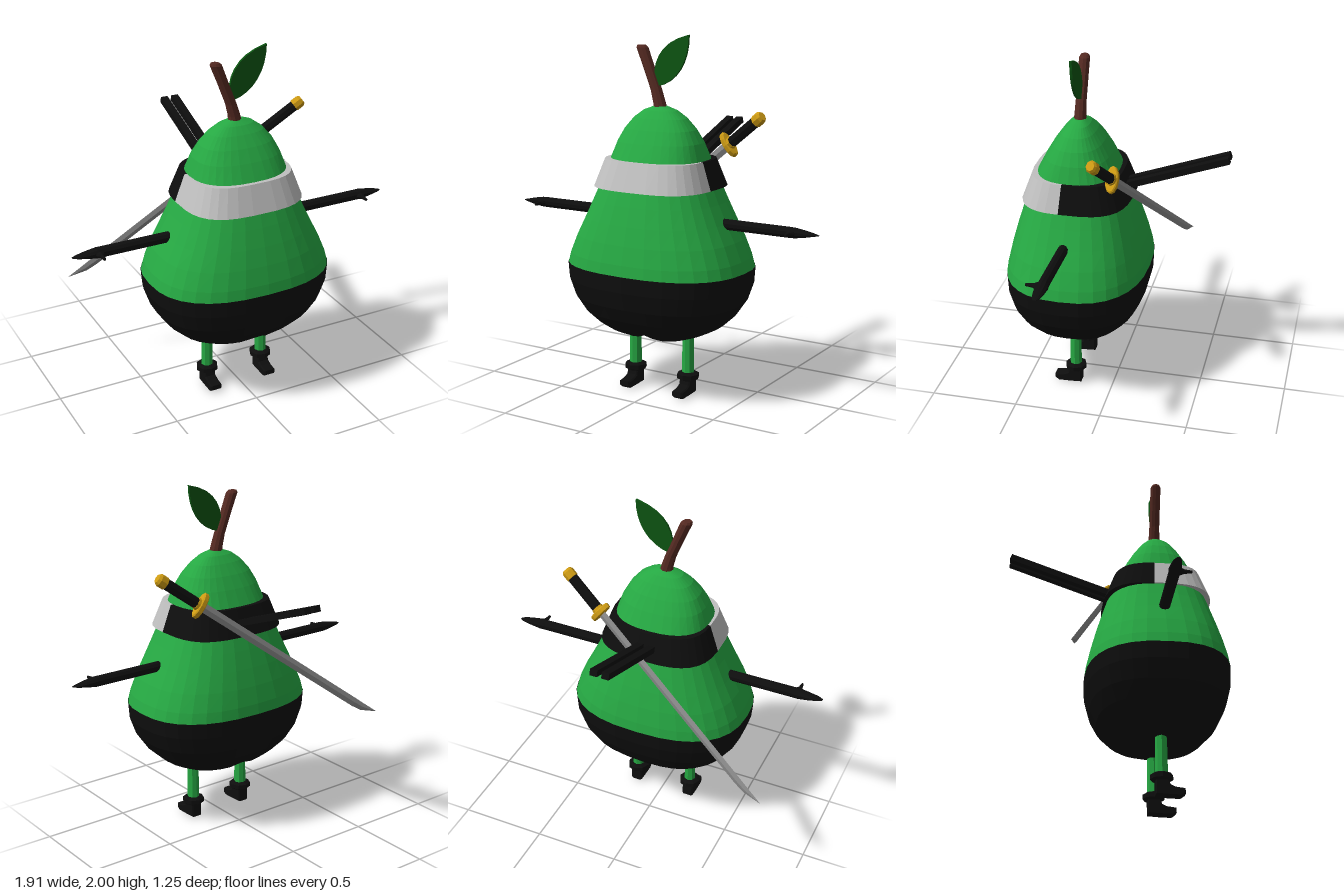
import * as THREE from 'three';

const mat = (name, color) => Object.assign(new THREE.MeshStandardMaterial({ color }), { name });

// Loft of superellipse rings [y, rx, rz, cx, cz] along y, faceted, with closed ends.
function loft(rings, n, { power = 2, from = 0, to = Math.PI * 2, rule } = {}) {
  const pos = [], idx = [];
  const bend = (v) => Math.sign(v) * Math.abs(v) ** (2 / power);
  const put = (x, y, z) => pos.push(x, rule ? rule(x, y, z) : y, z) / 3 - 1;
  for (const [y, rx, rz, cx = 0, cz = 0] of rings) {
    for (let j = 0; j <= n; j++) {
      const a = from + (to - from) * j / n;
      put(cx + rx * bend(Math.cos(a)), y, cz + rz * bend(Math.sin(a)));
    }
  }
  const w = n + 1, last = rings.length - 1;
  for (let i = 0; i < last; i++) {
    for (let j = 0; j < n; j++) {
      const a = i * w + j, b = a + w;
      idx.push(a, b, a + 1, b, b + 1, a + 1);
    }
  }
  const centre = ([y, , , cx = 0, cz = 0]) => put(cx, y, cz);
  const bottom = centre(rings[0]), top = centre(rings[last]);
  for (let j = 0; j < n; j++) {
    idx.push(bottom, j, j + 1, top, last * w + j + 1, last * w + j);
  }
  const g = new THREE.BufferGeometry();
  g.setAttribute('position', new THREE.Float32BufferAttribute(pos, 3));
  g.setIndex(idx);
  return facet(g);
}

function facet(g) {
  const f = g.index ? g.toNonIndexed() : g;
  f.computeVertexNormals();
  return f;
}

export function createModel() {
  const green = mat('pear green', 0x26a843);
  const leafGreen = mat('leaf green', 0x0d5512);
  const brown = mat('stem brown', 0x552a22);
  const black = mat('cloth black', 0x0e0e0e);
  const white = mat('band white', 0xc0c0c0);
  const steel = mat('blade steel', 0x8c8c8c);
  const gold = mat('gold', 0xcf9c14);

  const model = new THREE.Group();
  model.name = 'pearWarrior';
  const add = (parent, name, geometry, material) => {
    const m = new THREE.Mesh(geometry, material);
    m.name = name;
    parent.add(m);
    return m;
  };
  const group = (name, x = 0, y = 0, z = 0, parent = model) => {
    const g = new THREE.Group();
    g.name = name;
    g.position.set(x, y, z);
    parent.add(g);
    return g;
  };
  const CZ = 0.22; // depth of the body axis

  // Body: black lower half with a slight cleft underneath, green upper half
  const body = group('body', 0, 0, CZ);
  const cleft = (x, y) => (y < 0.38 ? y + 0.022 * Math.max(0, 1 - Math.abs(x) / 0.07) : y);
  add(body, 'trousers', loft([
    [0.33, 0.11, 0.09], [0.335, 0.2, 0.16], [0.37, 0.29, 0.235], [0.405, 0.36, 0.275], [0.47, 0.43, 0.335],
    [0.55, 0.485, 0.375], [0.65, 0.52, 0.4], [0.74, 0.527, 0.404],
  ], 32, { power: 2.5, rule: cleft }), black);
  add(body, 'upperBody', loft([
    [0.74, 0.525, 0.403], [0.8, 0.508, 0.395], [0.9, 0.466, 0.372], [1.0, 0.415, 0.344], [1.1, 0.367, 0.313],
    [1.2, 0.322, 0.28], [1.32, 0.277, 0.232], [1.42, 0.243, 0.18], [1.49, 0.205, 0.138],
    [1.55, 0.155, 0.095], [1.59, 0.1, 0.06], [1.612, 0.04, 0.03],
  ], 32, { power: 2.5 }), green);

  // Headband: white in front, black behind, with two stiff tails
  const band = group('headband', 0, 0, CZ);
  const bandRings = [[1.178, 0.342, 0.307], [1.33, 0.288, 0.25]];
  const a = 0.054;
  add(band, 'bandFront', loft(bandRings, 16, { power: 3, from: a, to: Math.PI + a }), white);
  add(band, 'bandBack', loft(bandRings, 16, { power: 3, from: Math.PI + a, to: 2 * Math.PI + a }), black);
  for (const x of [-0.036, 0.031]) {
    const tail = add(band, 'bandTail', new THREE.BoxGeometry(0.042, 0.036, 0.6), black);
    tail.position.set(x, 1.353, -0.555);
    tail.rotation.x = 0.345;
  }

  // Stem and leaf
  add(model, 'stem', loft([
    [1.58, 0.042, 0.036, 0, CZ], [1.63, 0.035, 0.033, -0.008, CZ], [1.7, 0.032, 0.03, -0.028, CZ],
    [1.82, 0.032, 0.03, -0.075, CZ], [1.925, 0.034, 0.03, -0.117, CZ], [1.938, 0.024, 0.022, -0.122, CZ],
  ], 10), brown);
  const outline = new THREE.Shape();
  outline.moveTo(-0.03, 1.715);
  outline.bezierCurveTo(-0.06, 1.83, -0.01, 1.96, 0.18, 2.0);
  outline.bezierCurveTo(0.18, 1.86, 0.11, 1.74, -0.03, 1.715);
  const leafGeo = new THREE.ExtrudeGeometry(outline, { depth: 0.014, bevelEnabled: false, curveSegments: 8 });
  add(model, 'leaf', leafGeo, leafGreen).position.z = CZ - 0.007;

  // Arms with pointed mitten hands, and legs with cuffs and shoes
  const armGeo = loft([
    [0.34, 0.03, 0.03], [0.78, 0.03, 0.03], [0.82, 0.029, 0.034],
    [0.88, 0.019, 0.03], [0.93, 0.008, 0.022], [0.957, 0.002, 0.008],
  ], 10).rotateZ(-Math.PI / 2);
  const thumbGeo = loft([[0, 0.035, 0.018], [0.03, 0.026, 0.016], [0.045, 0.012, 0.012], [0.085, 0.007, 0.008]], 8)
    .rotateX(Math.PI / 2);
  const legGeo = facet(new THREE.CylinderGeometry(0.032, 0.035, 0.3, 8));
  const cuffGeo = loft([[0.088, 0.048, 0.046], [0.098, 0.063, 0.062], [0.123, 0.063, 0.062], [0.133, 0.044, 0.044]], 8);
  const side = new THREE.Shape([
    [-0.033, 0.012], [0.03, 0.008], [0.1, 0.006], [0.122, 0.022], [0.12, 0.046],
    [0.07, 0.053], [0.042, 0.066], [0.033, 0.1], [-0.033, 0.1],
  ].map(([z, y]) => new THREE.Vector2(z, y)));
  const shoeGeo = new THREE.ExtrudeGeometry(side, {
    depth: 0.052, bevelThickness: 0.008, bevelSize: 0.006, bevelOffset: -0.004, bevelSegments: 1,
  }).translate(0, 0, -0.026).rotateY(-Math.PI / 2);

  for (const s of [1, -1]) {
    const label = s > 0 ? 'left' : 'right';
    const arm = group(label + 'Arm', 0, 1.0, CZ);
    // A half turn mirrors the round arm; the thumb always points forward
    add(arm, 'sleeveAndHand', armGeo, black).rotation.y = s > 0 ? 0 : Math.PI;
    add(arm, 'thumb', thumbGeo, black).position.set(s * 0.81, 0, 0.005);

    const leg = group(label + 'Leg', s * 0.175, 0, CZ);
    add(leg, 'shin', legGeo, green).position.y = 0.25;
    add(leg, 'cuff', cuffGeo, black);
    add(leg, 'shoe', shoeGeo, black);
  }

  // Sword slung across the back: local y runs from the guard to the pommel
  const sword = group('sword', 0.285, 1.39, -0.028);
  const up = new THREE.Vector3(1.075, 0.81, 0.272).normalize();
  const across = new THREE.Vector3(up.y, -up.x, 0).normalize();
  const normal = new THREE.Vector3().crossVectors(across, up);
  sword.quaternion.setFromRotationMatrix(new THREE.Matrix4().makeBasis(across, up, normal));
  add(sword, 'blade', loft([
    [-1.373, 0.001, 0.001, -0.024], [-1.27, 0.022, 0.006, -0.003], [-1.2, 0.026, 0.008], [0, 0.027, 0.009],
  ], 4), steel);
  add(sword, 'guard', loft([
    [-0.016, 0.068, 0.03], [-0.01, 0.076, 0.036], [0.012, 0.076, 0.036], [0.018, 0.068, 0.03],
  ], 12), gold);
  add(sword, 'collar', loft([[0.018, 0.036, 0.032], [0.034, 0.034, 0.03]], 8), gold);
  add(sword, 'grip', loft([[0.03, 0.031, 0.028], [0.25, 0.031, 0.028]], 8), black);
  add(sword, 'pommel', loft([[0.248, 0.036, 0.032], [0.29, 0.036, 0.032], [0.305, 0.026, 0.023]], 8), gold);

  return model;
}
